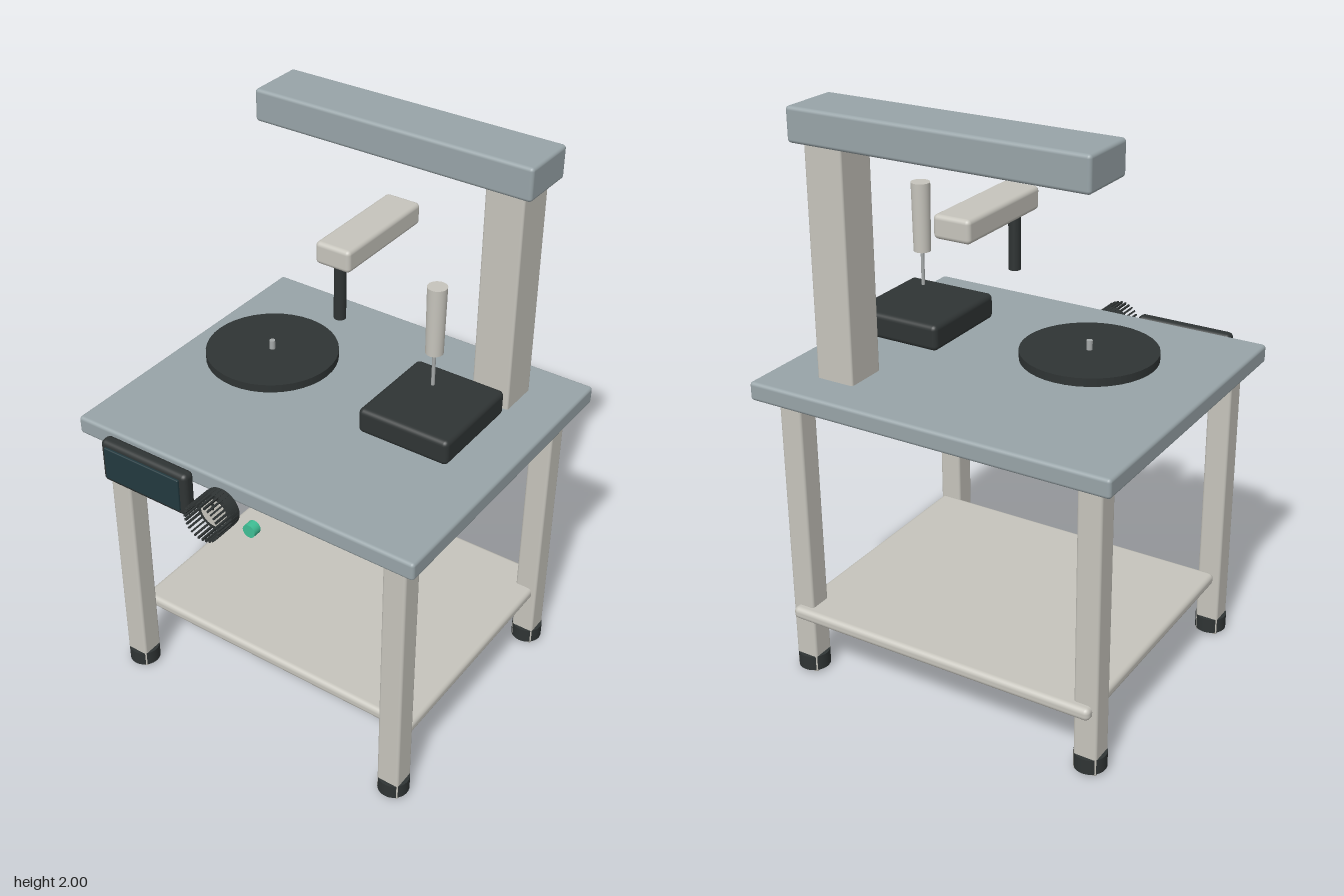
import * as THREE from 'three';
import { RoundedBoxGeometry } from 'three/addons/geometries/RoundedBoxGeometry.js';

const mat = (color) => new THREE.MeshStandardMaterial({ color });
const steel = mat(0x98a4a8), ivory = mat(0xc6c4bc), dark = mat(0x2f3434);
const glass = mat(0x22393f), green = mat(0x3fbf95), metal = mat(0xa4a8a8);

export function createModel() {
  const model = new THREE.Group();

  const add = (name, geometry, material, x, y, z, parent = model) => {
    const mesh = new THREE.Mesh(geometry, material);
    mesh.name = name;
    mesh.position.set(x, y, z);
    parent.add(mesh);
    return mesh;
  };
  // Rounded box given by its extents on each axis
  const box = (name, material, [x0, x1], [y0, y1], [z0, z1], r = 0.012) =>
    add(name, new RoundedBoxGeometry(x1 - x0, y1 - y0, z1 - z0, 3, r), material,
      (x0 + x1) / 2, (y0 + y1) / 2, (z0 + z1) / 2);
  // Upright cylinder between two heights
  const rod = (name, material, x, z, y0, y1, rTop, rBottom = rTop) =>
    add(name, new THREE.CylinderGeometry(rTop, rBottom, y1 - y0, 40), material, x, (y0 + y1) / 2, z);
  // Cylinder along z between two depths
  const dial = (name, material, x, y, z0, z1, r, parent) => {
    const mesh = add(name, new THREE.CylinderGeometry(r, r, z1 - z0, 40), material, x, y, (z0 + z1) / 2, parent);
    mesh.rotation.x = Math.PI / 2;
    return mesh;
  };

  // Table: top, shelf, legs and feet
  box('tableTop', steel, [-0.652, 0.652], [1.045, 1.11], [-0.63, 0.5]);
  box('shelf', ivory, [-0.575, 0.575], [0.22, 0.265], [-0.59, 0.35], 0.018);
  for (const x of [-0.55, 0.55]) {
    for (const z of [-0.52, 0.4]) {
      box('leg', ivory, [x - 0.042, x + 0.042], [0, 1.05], [z - 0.042, z + 0.042], 0.01);
      rod('foot', dark, x, z, 0.01, 0.065, 0.055);
    }
  }

  // Column with overhead beam
  box('column', ivory, [0.346, 0.484], [1.1, 1.9], [-0.49, -0.34], 0.008);
  box('overheadBeam', steel, [-0.516, 0.516], [1.887, 2], [-0.528, -0.316]);

  // Hanging arm with its probe
  box('arm', ivory, [-0.065, 0.065], [1.635, 1.712], [-0.43, -0.018], 0.015);
  rod('armProbe', dark, 0, -0.065, 1.437, 1.64, 0.02);

  // Dispenser and needle above the sample block
  rod('dispenser', ivory, 0.356, -0.065, 1.435, 1.67, 0.032, 0.029);
  rod('needle', metal, 0.356, -0.065, 1.315, 1.437, 0.006);
  box('sampleBlock', dark, [0.191, 0.521], [1.168, 1.258], [-0.243, 0.113], 0.018);

  // Turntable
  rod('turntable', dark, -0.276, -0.065, 1.19, 1.218, 0.225);
  rod('spindle', metal, -0.276, -0.065, 1.17, 1.25, 0.01);

  // Control panel
  box('controlPanel', dark, [-0.512, -0.157], [0.945, 1.107], [0.507, 0.555], 0.018);
  box('screen', glass, [-0.49, -0.182], [0.967, 1.088], [0.54, 0.563], 0.004);

  // Knob with a ring of grip ridges
  const knob = new THREE.Group();
  knob.name = 'knob';
  knob.position.set(-0.037, 1.03, 0);
  model.add(knob);
  dial('knobBody', dark, 0, 0, 0.522, 0.562, 0.068, knob);
  dial('knobFace', ivory, 0, 0, 0.56, 0.567, 0.05, knob);
  add('knobPointer', new THREE.BoxGeometry(0.007, 0.025, 0.008), dark, 0, 0.028, 0.567, knob);
  const ridges = 28, ridgeGeometry = new THREE.BoxGeometry(0.008, 0.006, 0.1);
  for (let i = 0; i < ridges; i++) {
    const a = (i / ridges) * Math.PI * 2;
    add('knobRidge', ridgeGeometry, dark, Math.cos(a) * 0.065, Math.sin(a) * 0.065, 0.578, knob).rotation.z = a;
  }

  dial('startButton', green, 0.106, 1.03, 0.544, 0.574, 0.023);

  return model;
}
